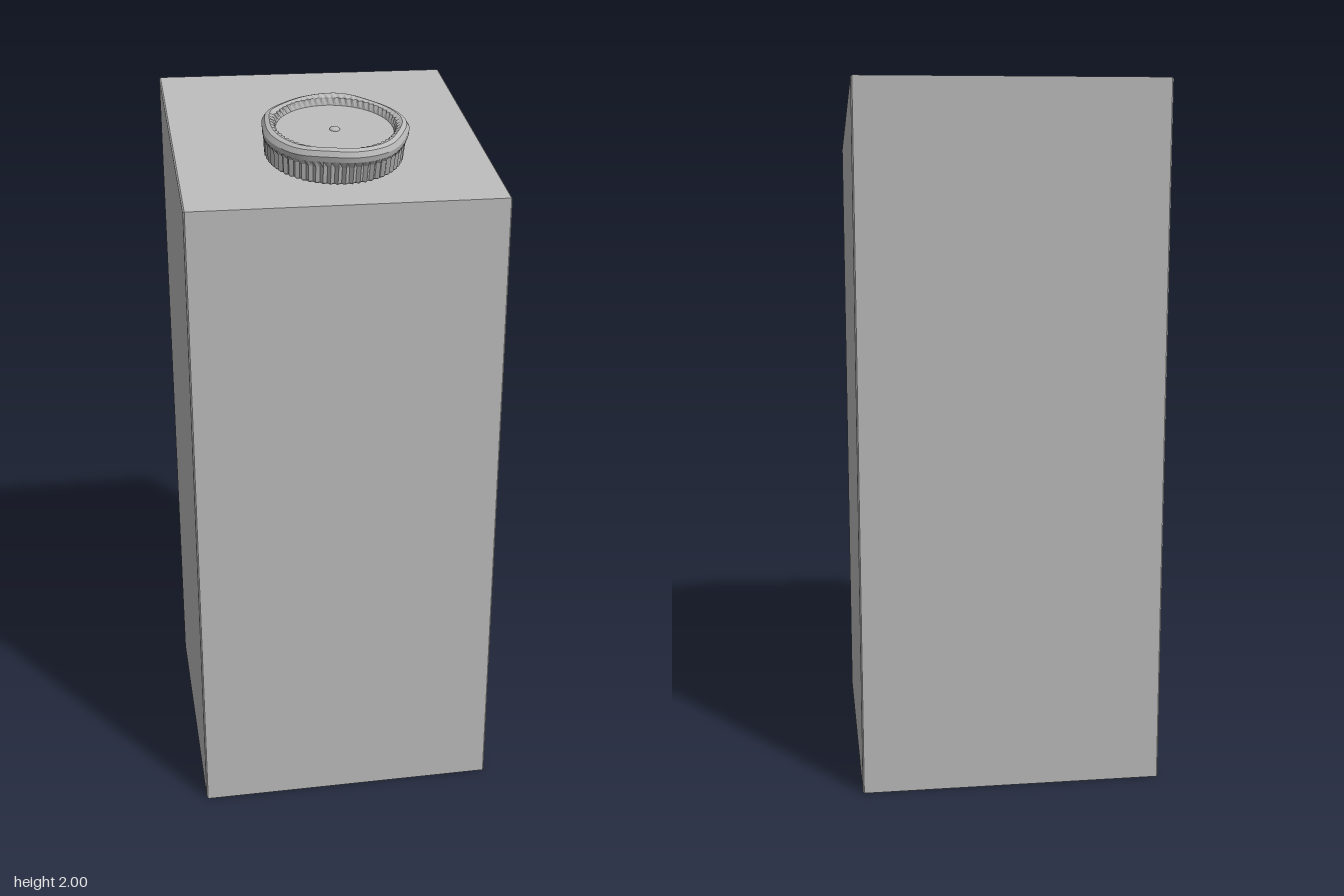
import * as THREE from 'three';

const TILT = Math.atan2(0.185, 0.845);

// Carton body: side profile with a sloping top, extruded across x
function makeBody(material) {
  const shape = new THREE.Shape([
    [0.43, 0], [0.414, 1.79], [-0.43, 1.975], [-0.422, 0],
  ].reverse().map(([z, y]) => new THREE.Vector2(z, y)));
  const bevel = 0.004, width = 0.852;
  const geo = new THREE.ExtrudeGeometry(shape, {
    depth: width - 2 * bevel, bevelEnabled: true, bevelSegments: 1,
    bevelThickness: bevel, bevelSize: bevel, bevelOffset: -bevel,
  });
  geo.translate(0, 0, -(width - 2 * bevel) / 2);
  geo.rotateY(-Math.PI / 2);
  // Seat the bevelled base exactly on the ground
  geo.computeBoundingBox();
  geo.translate(0, -geo.boundingBox.min.y, 0);
  const mesh = new THREE.Mesh(geo, material);
  mesh.name = 'cartonBody';
  return mesh;
}

// Screw cap shell: a lathe whose side is ribbed and whose rim is slightly uneven
function makeCapShell(material) {
  const profile = [
    [0, 0], [0.178, 0], [0.184, 0.006], [0.187, 0.05], [0.195, 0.066],
    [0.196, 0.08], [0.188, 0.093], [0.176, 0.098], [0.165, 0.092], [0.157, 0.072],
  ].map(([r, y]) => new THREE.Vector2(r, y));
  const geo = new THREE.LatheGeometry(profile, 120);
  const pos = geo.attributes.position;
  const n = profile.length;
  for (let i = 0; i < pos.count; i++) {
    const ring = i % n;
    const seg = Math.floor(i / n) % 120;
    const a = (seg / 120) * Math.PI * 2;
    let scale = 1;
    if (ring >= 1 && ring <= 3) scale += seg % 2 ? -0.025 : 0.012; // grip ribs
    if (ring >= 4 && ring <= 7) scale += 0.008 * Math.sin(5 * a) + 0.006 * Math.sin(9 * a + 1);
    if (ring === 8) scale += seg % 2 ? -0.02 : 0.012; // inner teeth
    const lift = ring >= 4 && ring <= 7 ? 0.003 * Math.sin(4 * a + 2) : 0;
    pos.setXYZ(i, pos.getX(i) * scale, pos.getY(i) + lift, pos.getZ(i) * scale);
  }
  const mesh = new THREE.Mesh(geo, material);
  mesh.name = 'capShell';
  return mesh;
}

export function createModel() {
  const grey = new THREE.MeshStandardMaterial({ color: 0xb8b8b8, flatShading: true });
  grey.name = 'plain grey';

  const model = new THREE.Group();
  model.name = 'carton';
  model.add(makeBody(grey));

  // Cap hovers just above the slope and leans with it
  const cap = new THREE.Group();
  cap.name = 'cap';
  cap.position.set(0, 1.86, 0.155);
  cap.rotation.x = TILT;
  cap.add(makeCapShell(grey));

  // Recessed lid with a small moulding nub in the middle
  const lid = new THREE.Mesh(new THREE.CylinderGeometry(0.159, 0.159, 0.01, 60), grey);
  lid.name = 'capLid';
  lid.position.y = 0.068;
  const nub = new THREE.Mesh(new THREE.SphereGeometry(0.014, 16, 6, 0, Math.PI * 2, 0, Math.PI / 2), grey);
  nub.name = 'lidNub';
  nub.scale.y = 0.5;
  nub.position.y = 0.073;
  cap.add(lid, nub);

  model.add(cap);
  return model;
}
